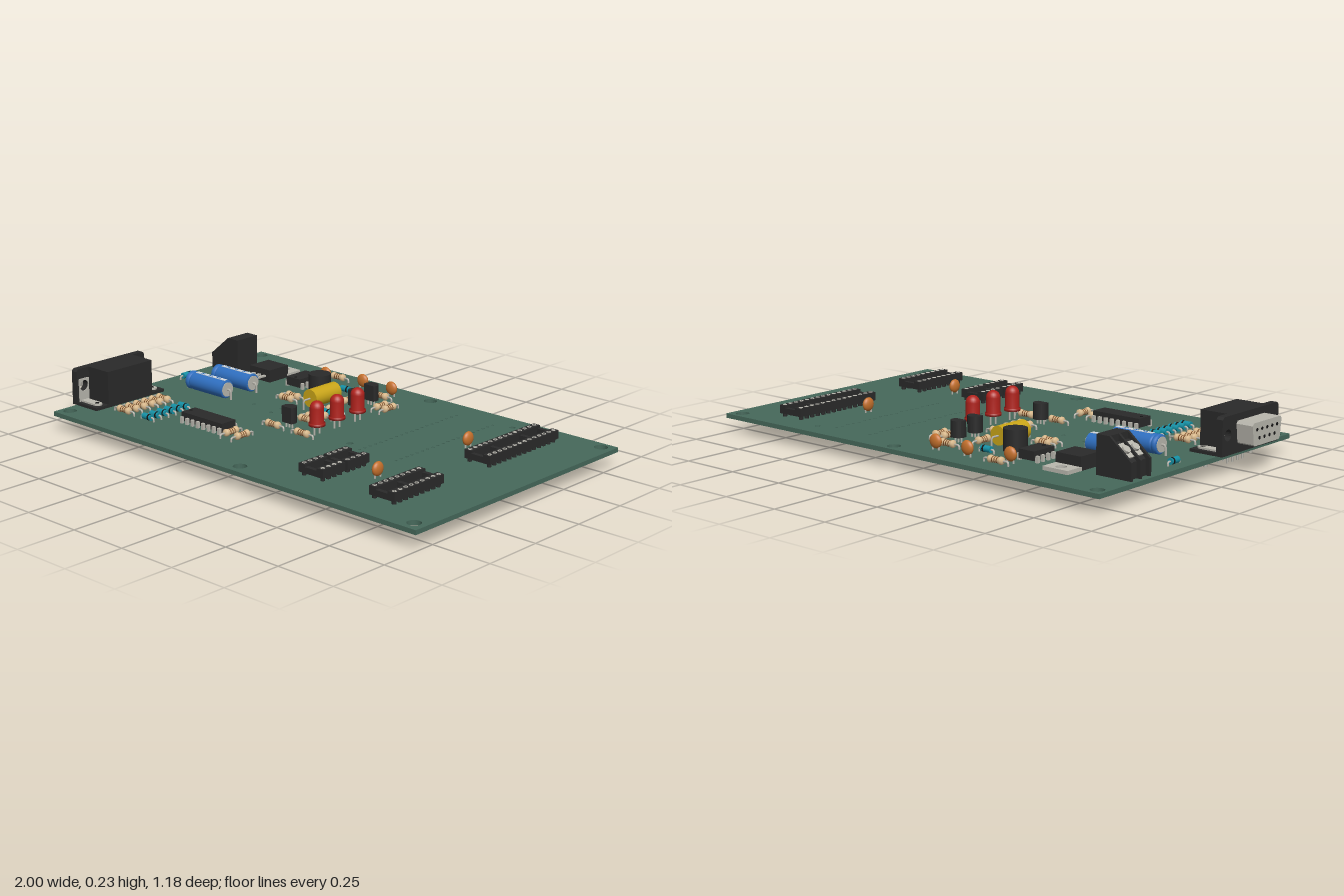
import * as THREE from 'three';

const TOP = 0.078, LOW = 0.06;
const M = (color, side = THREE.FrontSide) => new THREE.MeshStandardMaterial({ color, side });
const mat = {
  board: M(0x46695b), black: M(0x2a2a2a), dark: M(0x151515), metal: M(0xb9b7ae), tan: M(0xd9b98c),
  brown: M(0x7a4a26), blue: M(0x2f6fc0), white: M(0xd4dae0), teal: M(0x1590a5), yellow: M(0xc9a518),
  orange: M(0xc4702c), red: M(0xb0221c),
};

function add(parent, name, geo, material, x = 0, y = 0, z = 0) {
  const m = new THREE.Mesh(geo, material);
  m.name = name;
  m.position.set(x, y, z);
  parent.add(m);
  return m;
}
function box(p, name, m, x0, x1, y0, y1, z0, z1) {
  return add(p, name, new THREE.BoxGeometry(x1 - x0, y1 - y0, z1 - z0), m, (x0 + x1) / 2, (y0 + y1) / 2, (z0 + z1) / 2);
}
// Cylinder lying along x
function rod(p, name, m, r, x0, x1, y, z = 0, seg = 16) {
  return add(p, name, new THREE.CylinderGeometry(r, r, x1 - x0, seg).rotateZ(-Math.PI / 2), m, (x0 + x1) / 2, y, z);
}
function pin(p, x, z, y1 = TOP, y0 = 0.035, r = 0.004) {
  return add(p, 'pin', new THREE.CylinderGeometry(r, r, y1 - y0, 6), mat.metal, x, (y0 + y1) / 2, z);
}
function place(parent, name, x, z, alongZ = false) {
  const g = new THREE.Group();
  g.name = name;
  g.position.set(x, 0, z);
  if (alongZ) g.rotation.y = Math.PI / 2;
  parent.add(g);
  return g;
}
function circleHole(x, y, r, n = 16) {
  return new THREE.Path(Array.from({ length: n }, (_, i) =>
    new THREE.Vector2(x + r * Math.cos(i / n * 2 * Math.PI), y - r * Math.sin(i / n * 2 * Math.PI))));
}
function poly(pts) { return new THREE.Shape(pts.map(p => new THREE.Vector2(...p))); }
const extrude = (s, depth) => new THREE.ExtrudeGeometry(s, { depth, bevelEnabled: false, curveSegments: 10 });

// Wire that runs along x and bends down through the board at both ends
function wire(g, half, y, r = 0.004, low = 0.035) {
  const c = new THREE.CurvePath(), b = 0.008, v = (x, yy) => new THREE.Vector3(x, yy, 0);
  c.add(new THREE.LineCurve3(v(-half, low), v(-half, y - b)));
  c.add(new THREE.QuadraticBezierCurve3(v(-half, y - b), v(-half, y), v(b - half, y)));
  c.add(new THREE.LineCurve3(v(b - half, y), v(half - b, y)));
  c.add(new THREE.QuadraticBezierCurve3(v(half - b, y), v(half, y), v(half, y - b)));
  c.add(new THREE.LineCurve3(v(half, y - b), v(half, low)));
  add(g, 'lead', new THREE.TubeGeometry(c, 40, r, 6), mat.metal);
}
function lathe(pts, seg = 16) { return new THREE.LatheGeometry(pts.map(p => new THREE.Vector2(...p)), seg); }

function resistor(root, x, z, alongZ) {
  const g = place(root, 'resistor', x, z, alongZ), y = 0.094;
  const prof = [[0, -0.037], [0.011, -0.035], [0.015, -0.029], [0.015, -0.022], [0.012, -0.016],
    [0.012, 0.016], [0.015, 0.022], [0.015, 0.029], [0.011, 0.035], [0, 0.037]];
  add(g, 'resistorBody', lathe(prof).rotateZ(-Math.PI / 2), mat.tan, 0, y);
  for (const bx of [-0.011, 0, 0.011]) rod(g, 'band', mat.brown, 0.0125, bx - 0.002, bx + 0.002, y);
  wire(g, 0.058, y);
}
function diode(root, x, z, alongZ) {
  const g = place(root, 'diode', x, z, alongZ);
  rod(g, 'diodeBody', mat.teal, 0.0125, -0.023, 0.023, 0.093);
  rod(g, 'cathodeBand', mat.dark, 0.0132, 0.008, 0.015, 0.093);
  wire(g, 0.036, 0.093);
}
function discCap(root, x, z, alongZ) {
  const g = place(root, 'ceramicCapacitor', x, z, alongZ);
  const body = add(g, 'disc', new THREE.SphereGeometry(1, 20, 14), mat.orange, 0, 0.112, 0);
  body.scale.set(0.028, 0.028, 0.015);
  for (const s of [-1, 1]) pin(g, s * 0.015, 0, 0.1);
}
function electrolytic(root, x, z) {
  const g = place(root, 'electrolyticCapacitor', x, z), y = 0.117;
  const prof = [[0, -0.107], [0.032, -0.107], [0.038, -0.102], [0.038, -0.09], [0.034, -0.085], [0.034, -0.081],
    [0.038, -0.076], [0.038, 0.102], [0.032, 0.107], [0, 0.107]];
  add(g, 'sleeve', lathe(prof, 28).rotateZ(-Math.PI / 2), mat.blue, 0, y);
  box(g, 'stripe', mat.white, -0.07, 0.1, y + 0.03, y + 0.0385, -0.009, 0.009);
  for (const bx of [-0.045, 0.0, 0.045]) box(g, 'minusMark', mat.blue, bx, bx + 0.022, y + 0.035, y + 0.0392, -0.003, 0.003);
  for (const s of [-1, 1]) rod(g, 'endCap', mat.metal, 0.03, s * 0.1075 - 0.002, s * 0.1075 + 0.002, y, 0, 24);
  wire(g, 0.127, y, 0.005, 0.02);
}
function transistor(root, x, z) {
  const g = place(root, 'smallTransistor', x, z);
  const s = new THREE.Shape();
  s.absarc(0, 0, 0.03, -0.55, Math.PI + 0.55, false);
  s.closePath();
  add(g, 'transistorBody', extrude(s, 0.065).rotateX(-Math.PI / 2), mat.black, 0, 0.1, 0);
  for (const i of [-1, 0, 1]) pin(g, i * 0.016, 0, 0.102);
}
function led(root, x, z) {
  const g = place(root, 'led', x, z);
  const prof = [[0, 0.115], [0.033, 0.115], [0.033, 0.126], [0.028, 0.126], [0.028, 0.187]];
  for (let i = 1; i <= 6; i++) prof.push([0.028 * Math.cos(i * Math.PI / 12), 0.187 + 0.028 * Math.sin(i * Math.PI / 12)]);
  add(g, 'lens', lathe(prof, 24), mat.red);
  for (const s of [-1, 1]) pin(g, 0, s * 0.015, 0.118);
}
// Chip whose pin rows run along local x
function chip(root, x, z, pins, alongZ) {
  const g = place(root, 'chip', x, z, alongZ), h = pins * 0.0142, w = 0.037;
  box(g, 'chipBody', mat.black, -h, h, 0.086, 0.122, -w, w);
  add(g, 'pinOneMark', new THREE.CylinderGeometry(0.006, 0.006, 0.002, 12), mat.dark, 0.016 - h, 0.1225, 0);
  for (let i = 0; i < pins; i++) for (const s of [-1, 1]) {
    const px = (i - (pins - 1) / 2) * 0.03;
    box(g, 'shoulder', mat.metal, px - 0.006, px + 0.006, 0.07, 0.104, s * 0.043 - 0.006, s * 0.043 + 0.006);
    pin(g, px, s * 0.045);
  }
}
// Open-frame socket with rails along z
function socket(root, x, z, pins, bars) {
  const g = place(root, 'chipSocket', x, z), h = pins * 0.015, y0 = 0.092, y1 = 0.126;
  for (const s of [-1, 1]) {
    box(g, 'rail', mat.black, s * 0.044 - 0.016, s * 0.044 + 0.016, y0, y1, -h, h);
    for (let i = 0; i < pins; i++) {
      const pz = (i - (pins - 1) / 2) * 0.03;
      pin(g, s * 0.046, pz, 0.1, 0.04);
      add(g, 'collar', new THREE.CylinderGeometry(0.009, 0.009, 0.014, 10), mat.black, s * 0.046, 0.086, pz);
      add(g, 'contact', new THREE.TorusGeometry(0.007, 0.002, 6, 12).rotateX(Math.PI / 2), mat.metal, s * 0.046, y1, pz);
    }
  }
  for (const b of bars) box(g, 'crossBar', mat.black, -0.03, 0.03, y0, 0.116, b * (h - 0.009) - 0.009, b * (h - 0.009) + 0.009);
}

function circuitBoard(root) {
  const s = poly([[-0.906, -0.59], [1, -0.59], [1, 0.59], [-0.906, 0.59]]);
  const holes = [[0.56, -0.505, 0.012], [0.225, 0.07, 0.014], [-0.39, -0.027, 0.008], [-0.265, -0.06, 0.008],
    [-0.265, 0.002, 0.008], [-0.607, -0.43, 0.021]];
  for (const x of [-0.865, 0.105, 0.95]) for (const z of [-0.548, 0.54]) holes.push([x, z, 0.027]);
  for (const x of [0.302, 0.485]) for (let i = 0; i < 20; i++) holes.push([x, -0.475 + i * 0.0303, 0.0065]);
  for (const [x, z, r] of holes) s.holes.push(circleHole(x, -z, r, r > 0.02 ? 24 : 10));
  add(root, 'circuitBoard', extrude(s, TOP - LOW).rotateX(-Math.PI / 2), mat.board, 0, LOW, 0);
}
function serialConnector(root) {
  const g = place(root, 'serialConnector', 0, 0.288);
  const face = poly([[-0.183, TOP], [0.183, TOP], [0.183, 0.217], [0.174, 0.227], [-0.174, 0.227], [-0.183, 0.217]]);
  for (const s of [-1, 1]) face.holes.push(circleHole(s * 0.148, 0.155, 0.022, 20));
  add(g, 'flange', extrude(face, 0.028).rotateY(-Math.PI / 2), mat.black, -0.9);
  box(g, 'housing', mat.black, -0.9, -0.783, TOP, 0.227, -0.118, 0.118);
  const shell = poly([[-0.078, 0.112], [0.078, 0.112], [0.086, 0.118], [0.095, 0.19], [0.087, 0.2], [-0.087, 0.2], [-0.095, 0.19], [-0.086, 0.118]]);
  add(g, 'shell', extrude(shell, 0.072).rotateY(-Math.PI / 2), mat.metal, -0.928);
  for (const [n, y] of [[5, 0.173], [4, 0.14]]) for (let i = 0; i < n; i++) {
    const z = (i - (n - 1) / 2) * 0.033;
    rod(g, 'contactHole', mat.dark, 0.007, -1.0005, -0.99, y, z, 10);
    pin(g, n === 5 ? -0.83 : -0.86, z, TOP, 0.02);
  }
  for (const s of [-1, 1]) {
    const z = s * 0.148;
    box(g, 'sideBase', mat.black, -0.9, -0.783, TOP, 0.09, z - 0.035, z + 0.035);
    box(g, 'bracketFoot', mat.metal, -0.9, -0.815, 0.09, 0.097, z - 0.018, z + 0.018);
    add(g, 'bracketEnd', new THREE.CylinderGeometry(0.018, 0.018, 0.007, 16), mat.metal, -0.815, 0.0935, z);
    add(g, 'bracketHole', new THREE.CylinderGeometry(0.009, 0.009, 0.002, 12), mat.dark, -0.818, 0.0972, z);
    const plate = poly([[z - 0.025, 0.09], [z + 0.025, 0.09], [z + 0.025, 0.185], [z - 0.025, 0.185]]);
    plate.holes.push(circleHole(z, 0.155, 0.022, 20));
    add(g, 'bracketPlate', extrude(plate, 0.005).rotateY(-Math.PI / 2), mat.metal, -0.895);
    pin(g, -0.83, z, TOP, 0.02, 0.008);
  }
}
function terminalBlock(root) {
  const g = place(root, 'terminalBlock', -0.812, -0.333);
  const full = poly([[-0.078, TOP], [0.078, TOP], [0.078, 0.227], [0.02, 0.227], [-0.078, 0.145]]);
  const cut = poly([[-0.06, TOP], [0.07, TOP], [0.07, 0.2], [0.012, 0.2], [-0.06, 0.14]]);
  for (const z of [-0.058, -0.005, 0.048]) add(g, 'wall', extrude(full, 0.01), mat.black, 0, 0, z);
  for (const z of [-0.048, 0.005]) {
    add(g, 'chamber', extrude(cut, 0.043), mat.black, 0, 0, z);
    box(g, 'topRidge', mat.black, 0.02, 0.078, TOP, 0.227, z, z + 0.043);
    const clamp = box(g, 'clamp', mat.metal, -0.055, 0.01, 0.165, 0.179, z + 0.002, z + 0.041);
    clamp.rotation.z = 0.695;
    const screw = add(g, 'screw', new THREE.CylinderGeometry(0.016, 0.016, 0.012, 16), mat.metal, -0.03, 0.181, z + 0.0215);
    screw.rotation.z = 0.695;
    pin(g, 0, z + 0.02, TOP, 0.02, 0.007);
  }
}
function regulator(root) {
  const g = place(root, 'voltageRegulator', -0.607, -0.335);
  const tab = poly([[-0.058, 0.05], [0.058, 0.05], [0.058, 0.13], [-0.058, 0.13]]);
  tab.holes.push(circleHole(0, 0.095, 0.021, 20));
  add(g, 'tab', extrude(tab, 0.015).rotateX(-Math.PI / 2), mat.metal, 0, TOP + 0.001, 0);
  box(g, 'regulatorBody', mat.black, -0.058, 0.058, TOP + 0.001, 0.132, -0.055, 0.055);
  for (const i of [-1, 0, 1]) {
    box(g, 'leg', mat.metal, i * 0.03 - 0.006, i * 0.03 + 0.006, 0.1, 0.107, 0.055, 0.108);
    box(g, 'legDown', mat.metal, i * 0.03 - 0.005, i * 0.03 + 0.005, 0, 0.107, 0.1, 0.108);
  }
}

export function createModel() {
  const root = new THREE.Group();
  root.name = 'circuitBoardAssembly';
  circuitBoard(root);
  serialConnector(root);
  terminalBlock(root);
  regulator(root);

  // Resistors and diodes
  for (const [x, z] of [[-0.365, -0.505], [-0.06, -0.43], [-0.32, -0.185], [-0.32, -0.145], [-0.07, -0.157], [-0.07, -0.08],
    [-0.07, -0.037], [-0.07, 0.003], [-0.12, 0.137], [0.037, 0.137]]) resistor(root, x, z);
  for (const z of [0.203, 0.243, 0.284, 0.327, 0.37, 0.413]) resistor(root, -0.68, z);
  for (const [x, z] of [[-0.12, -0.3], [0.03, -0.328], [0.073, -0.328], [-0.175, 0.312], [-0.115, 0.312]]) resistor(root, x, z, true);
  for (const z of [0.213, 0.251, 0.29, 0.329, 0.368, 0.408]) diode(root, -0.548, z);
  diode(root, -0.227, -0.4);
  diode(root, -0.075, -0.12);
  diode(root, -0.853, -0.09, true);

  // Capacitors
  for (const [x, z] of [[-0.395, -0.46], [-0.213, -0.49], [-0.055, -0.49]]) discCap(root, x, z);
  for (const [x, z] of [[0.58, -0.205], [0.557, 0.285]]) discCap(root, x, z, true);
  electrolytic(root, -0.617, -0.142);
  electrolytic(root, -0.628, -0.006);
  const film = place(root, 'filmCapacitor', -0.19, -0.22, true);
  rod(film, 'filmBody', mat.yellow, 0.038, -0.073, 0.073, 0.117, 0, 28);
  wire(film, 0.11, 0.117);
  const can = place(root, 'roundCapacitor', -0.29, -0.31);
  add(can, 'canBody', new THREE.CylinderGeometry(0.046, 0.046, 0.088, 28), mat.black, 0, TOP + 0.045, 0);
  for (const s of [-1, 1]) pin(can, s * 0.02, 0);

  // Transistors, lamps, chips and sockets
  for (const [x, z] of [[-0.037, -0.345], [-0.032, -0.245], [-0.077, 0.09]]) transistor(root, x, z);
  for (const z of [-0.155, -0.036, 0.078]) led(root, 0.06, z);
  chip(root, -0.427, -0.352, 4, true);
  chip(root, -0.318, 0.296, 8);
  socket(root, 0.735, -0.277, 14, [-1, -0.45, 0.45, 1]);
  socket(root, 0.735, 0.33, 9, [-1, 0.1, 1]);
  socket(root, 0.39, 0.27, 4, [-1, 1]);
  socket(root, 0.39, 0.402, 4, [-1, 1]);
  return root;
}
